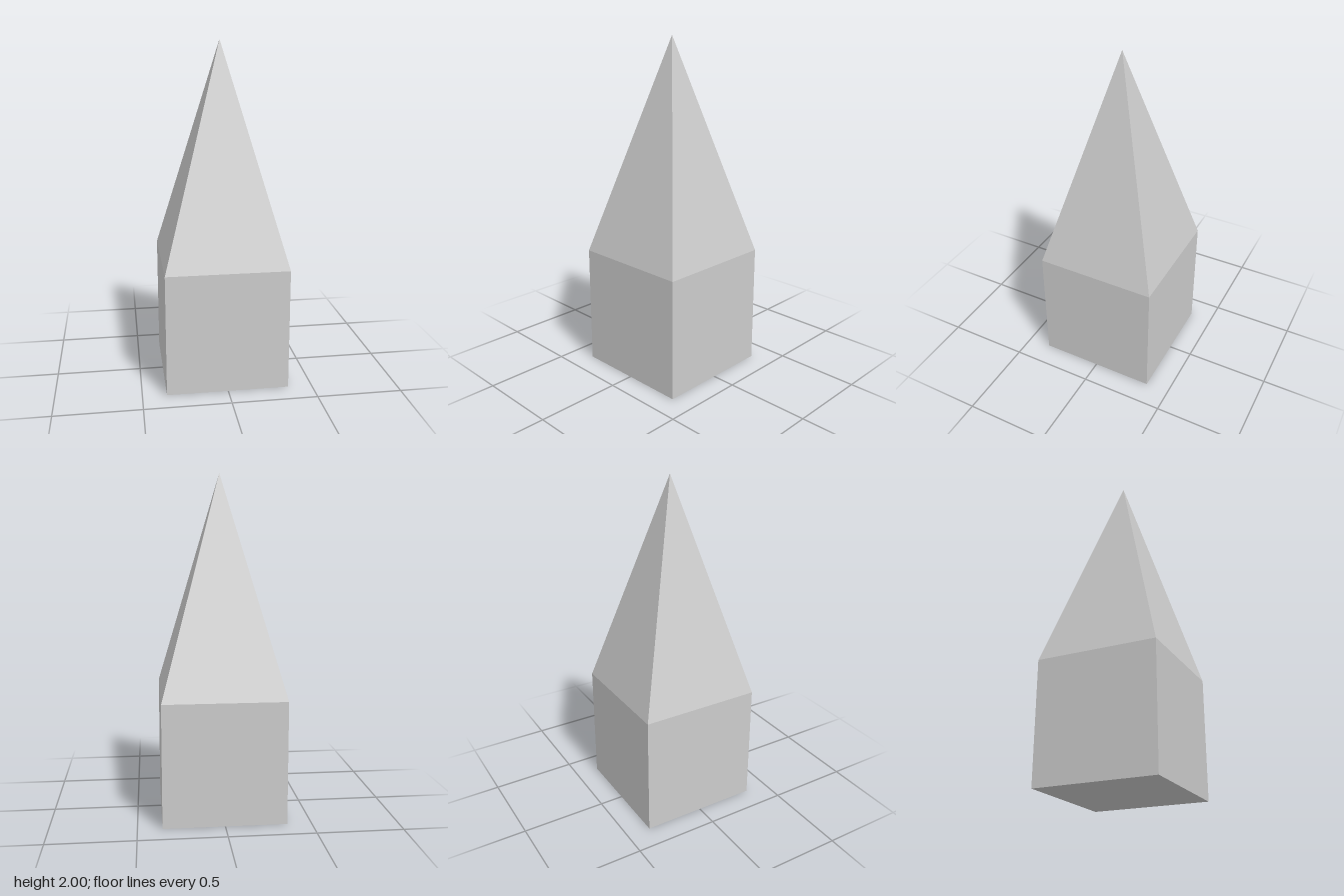
import * as THREE from 'three';

const WIDTH = 0.717;        // side of the square plan
const BODY_HEIGHT = 0.72;
const TOTAL_HEIGHT = 2;

export function createModel() {
  const group = new THREE.Group();
  const material = new THREE.MeshStandardMaterial({ color: 0xcccccc, flatShading: true });

  // Square base block
  const body = new THREE.Mesh(new THREE.BoxGeometry(WIDTH, BODY_HEIGHT, WIDTH), material);
  body.name = 'body';
  body.position.y = BODY_HEIGHT / 2;
  group.add(body);

  // Four-sided spire, its corners lined up with the block
  const spireHeight = TOTAL_HEIGHT - BODY_HEIGHT;
  const spire = new THREE.Mesh(
    new THREE.ConeGeometry(WIDTH / Math.SQRT2, spireHeight, 4, 1, true, Math.PI / 4),
    material
  );
  spire.name = 'spire';
  spire.position.y = BODY_HEIGHT + spireHeight / 2;
  group.add(spire);

  return group;
}
